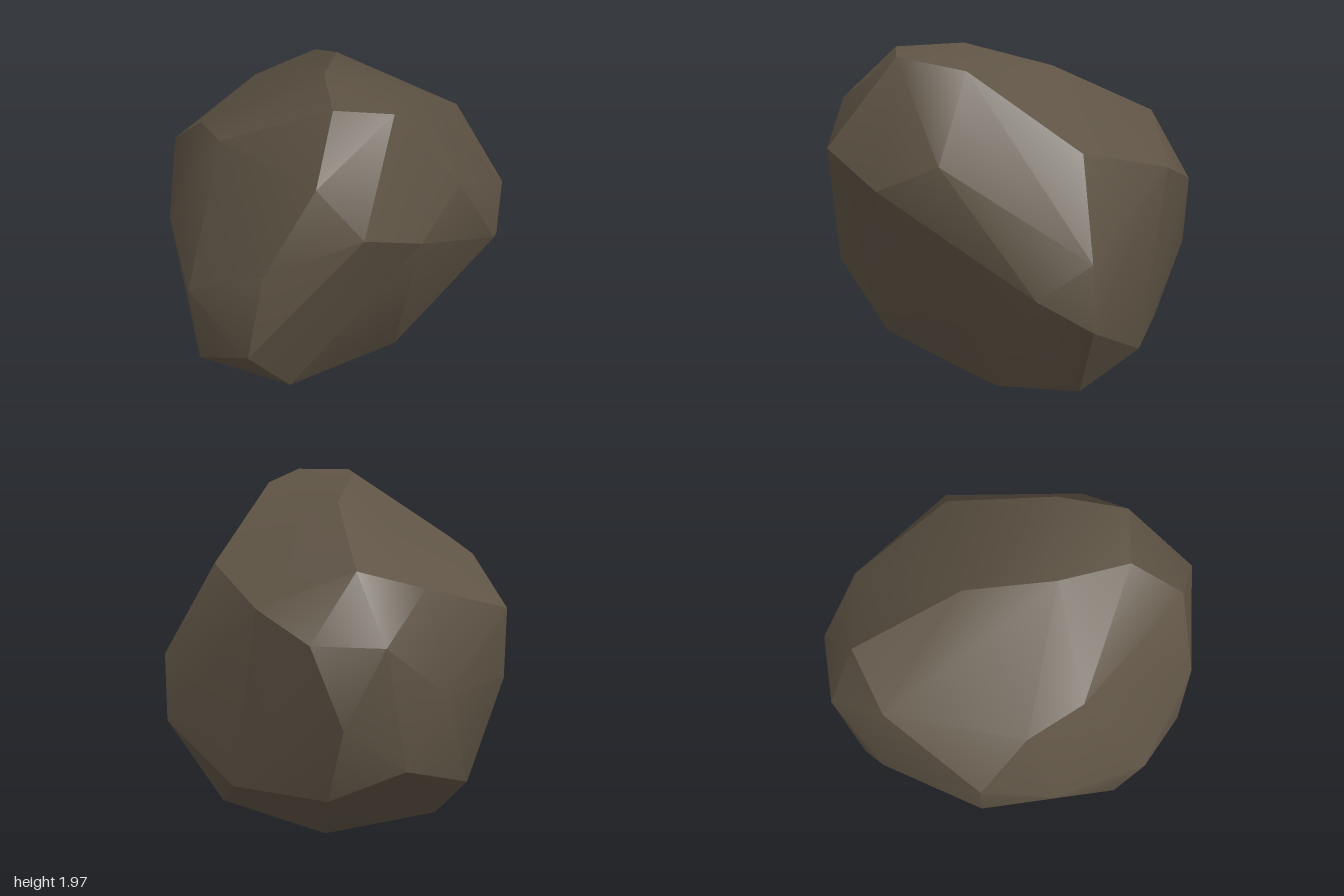
import * as THREE from 'three';
import { ConvexGeometry } from 'three/addons/geometries/ConvexGeometry.js';
import { toCreasedNormals } from 'three/addons/utils/BufferGeometryUtils.js';

// Corners of the boulder, grouped by the side they shape
const crown = [
  [0.41, 1.97, 0.59], [0.11, 1.97, 0.61], [0, 1.97, 0.25], [0.49, 1.91, 0.23],
  [-0.02, 1.84, -0.23], [0.08, 1.69, 0.9], [0.63, 1.51, -0.36],
  [-0.52, 1.61, 0.41], [-0.7, 1.54, 0.13], [-0.25, 1.54, -0.8], [-0.57, 1.44, -0.62],
];
const front = [
  [0.33, 1.47, 0.97], [0.58, 1.3, 0.7], [-0.17, 1.21, 1], [-0.27, 0.66, 0.985],
  [-0.63, 0.9, 0.78], [-0.63, 0.34, 0.65], [-0.11, 0.27, 0.71],
];
const leftSide = [
  [0.73, 1.47, 0.37], [0.91, 1.01, -0.4], [0.9, 0.64, -0.41], [0.9, 0.81, -0.12],
];
const rightSide = [
  [-0.92, 1.28, -0.1], [-0.91, 0.9, -0.1], [-0.86, 1.01, 0.29],
  [-0.73, 0.33, -0.18], [-0.69, 0.9, -0.65],
];
const back = [
  [0.26, 1.34, -0.84], [-0.06, 1.19, -1], [-0.43, 1.18, -0.93], [-0.23, 0.77, -1],
  [-0.51, 0.53, -0.8], [-0.11, 0.36, -0.84], [0.44, 0.37, -0.69],
];
const base = [
  [0.6, 0.19, -0.36], [0.38, 0.13, 0.08], [0.02, 0.04, -0.36],
  [-0.13, 0, 0.26], [-0.52, 0.08, 0.04],
];

export function createModel() {
  const group = new THREE.Group();
  group.name = 'rock';

  const stone = new THREE.MeshStandardMaterial({ color: 0x5f5445 });
  stone.name = 'brown stone';

  // Chiselled hull: shallow edges are blended, steep ones stay sharp
  const corners = [crown, front, leftSide, rightSide, back, base].flat()
    .map((p) => new THREE.Vector3(...p));
  const geometry = toCreasedNormals(new ConvexGeometry(corners), THREE.MathUtils.degToRad(30));

  const boulder = new THREE.Mesh(geometry, stone);
  boulder.name = 'boulder';
  group.add(boulder);
  return group;
}
